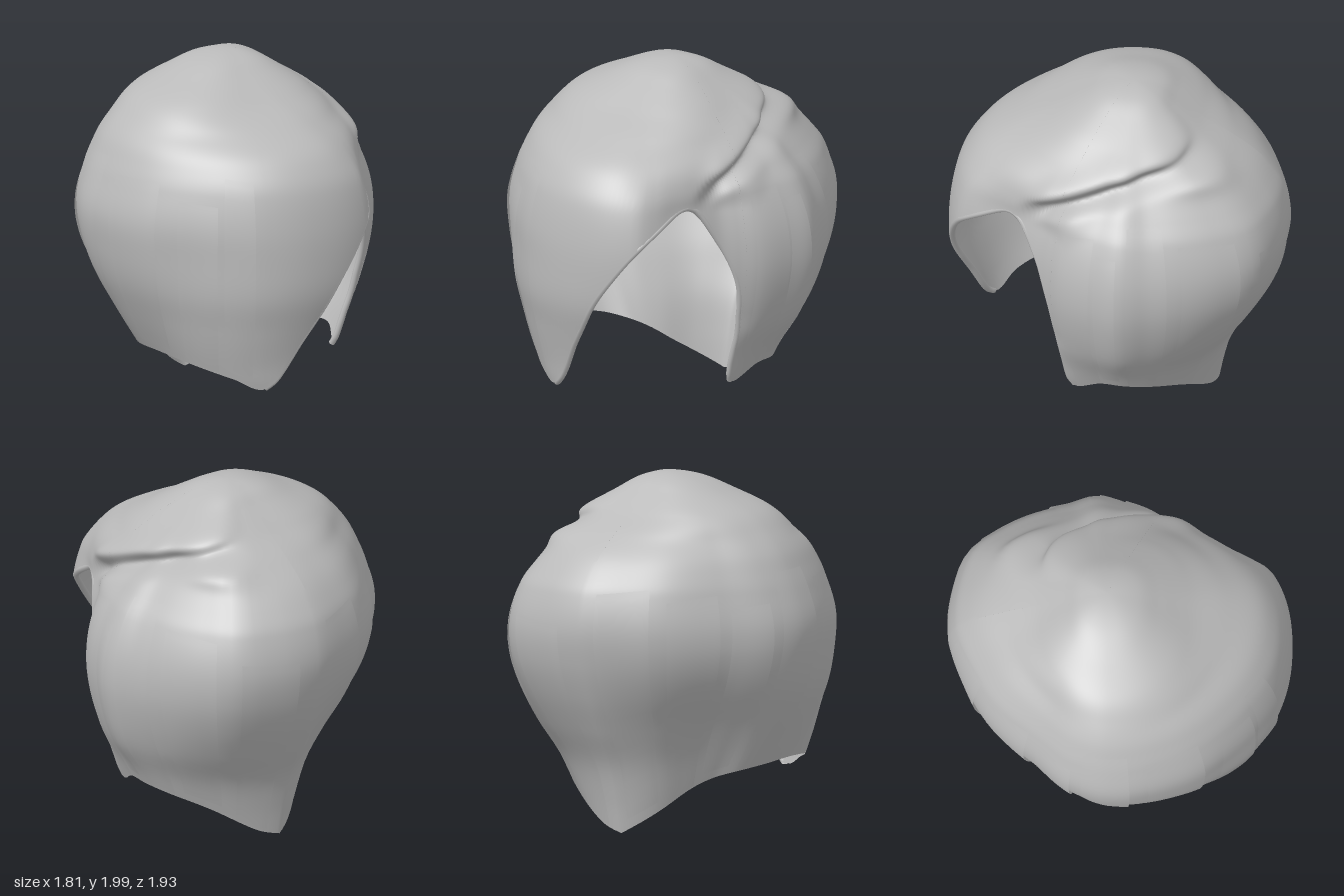
import * as THREE from 'three';
import { mergeVertices } from 'three/addons/utils/BufferGeometryUtils.js';

const AXIS_Z = -0.07; // the crown sits slightly behind the centre
const DEG = Math.PI / 180;
const smooth = THREE.MathUtils.smoothstep;
const bell = (x, width) => Math.exp(-Math.pow(x / width, 2));

// Ring reach at each height: right, left, back, front, keyed by sqrt(2 - y)
const RINGS = [
  [2, 0, 0, 0, 0], [1.97, 0.19, 0.15, 0.15, 0.17], [1.9, 0.36, 0.27, 0.25, 0.3],
  [1.8, 0.57, 0.41, 0.39, 0.47], [1.7, 0.68, 0.53, 0.56, 0.67], [1.6, 0.76, 0.62, 0.7, 0.84],
  [1.5, 0.81, 0.71, 0.79, 0.93], [1.4, 0.85, 0.79, 0.85, 0.98], [1.2, 0.9, 0.87, 0.89, 1.02],
  [1, 0.88, 0.89, 0.86, 1.03], [0.8, 0.83, 0.86, 0.79, 1.02], [0.6, 0.74, 0.79, 0.69, 0.97],
  [0.4, 0.63, 0.66, 0.58, 0.92], [0.2, 0.5, 0.55, 0.52, 0.89], [0, 0.36, 0.42, 0.48, 0.8],
].map(([y, ...r]) => [Math.sqrt(2 - y), ...r]);

// Plan outline factor by angle (0 = front, 90 = the model's left)
const PLAN = [
  [-180, 1], [-165, 0.94], [-151, 0.915], [-123, 0.885], [-104, 0.96], [-90, 1], [-62, 0.99],
  [-35, 0.97], [0, 1], [23, 1.02], [28, 0.98], [35, 0.91], [43, 0.87], [54, 0.83], [62, 0.86],
  [71, 0.92], [84, 0.96], [95, 1], [106, 0.97], [119, 0.99], [135, 1.03], [147, 1.07],
  [160, 1.04], [180, 1],
];

// Extra taper towards the hem by angle
const TAPER = [
  [-180, 1], [-160, 0.86], [-135, 0.71], [-110, 0.73], [-95, 0.88], [-82, 0.96], [-62, 1],
  [-35, 1.08], [0, 1], [90, 1], [125, 0.95], [150, 0.97], [180, 1],
];

// Height of the parting crease by angle
const PARTING = [[36, 1.36], [41, 1.39], [55, 1.49], [74, 1.59], [100, 1.68], [125, 1.74], [147, 1.78], [165, 1.78]];

// Hem by angle; the high stretch is the face opening
const HEM = new THREE.CatmullRomCurve3([
  [-180, 0.01], [-155, 0.13], [-128, 0.25], [-108, 0.32], [-90, 0.37], [-64, 0.39], [-41, 0.37],
  [-26, 0.32], [-15, 0.26], [0, 0.6], [11.5, 0.93], [27, 1.25], [40, 1.37], [54, 1.15],
  [62.5, 0.9], [65, 0.6], [67, 0.25], [83, 0.32], [93, 0.32], [110, 0.28], [133, 0.2],
  [165, 0.05], [180, 0.01],
].map(([a, y]) => new THREE.Vector3(a / 100, y, 0)));
const HEM_STEPS = 22;

// Smooth interpolation of one column of a table
function sample(table, x, col = 1) {
  const last = table.length - 1;
  let i = 0;
  while (i < last - 1 && x > table[i + 1][0]) i++;
  const slope = (k) => {
    const a = table[Math.max(k - 1, 0)], b = table[Math.min(k + 1, last)];
    return (b[col] - a[col]) / (b[0] - a[0]);
  };
  const p = table[i], q = table[i + 1], h = q[0] - p[0];
  const t = THREE.MathUtils.clamp((x - p[0]) / h, 0, 1), s = 1 - t;
  return s * s * (1 + 2 * t) * p[col] + t * t * (3 - 2 * t) * q[col]
    + h * t * s * (s * slope(i) - t * slope(i + 1));
}

// Point of the hair surface at an angle and height
function surface(angle, y, offset = 0) {
  const v = Math.sqrt(Math.max(0, 2 - y));
  const sx = Math.sin(angle * DEG), cz = Math.cos(angle * DEG);
  const a = sample(RINGS, v, sx < 0 ? 1 : 2), b = sample(RINGS, v, cz < 0 ? 3 : 4);
  let r = v < 1e-6 ? 0 : 1 / Math.hypot(sx / a, cz / b);
  // The outline fades out at the hem and crown, sooner above the fringe
  const plan = sample(PLAN, angle) - 1;
  const fringe = smooth(angle, 5, 30) * (1 - smooth(angle, 70, 100));
  const fadeIn = smooth(y, 0.2, plan > 0 ? 1.1 : 0.7);
  r *= 1 + plan * fadeIn * (1 - smooth(y, 1.6 - 0.28 * fringe, 1.95 - 0.33 * fringe));
  r *= 1 + (sample(TAPER, angle) - 1) * (1 - smooth(y, 0.2, 1.1));
  // Fuller diagonals on the crown
  r *= 1 + 0.1 * Math.pow(2 * sx * cz, 2) * smooth(y, 1.65, 1.85);
  // Rolled fringe above the parting, tucked crease below it
  const strength = smooth(angle, 42, 58) * (1 - smooth(angle, 135, 160));
  if (strength > 0) {
    const d = y - sample(PARTING, angle);
    r += strength * (0.04 * bell(d - 0.05, 0.09) - 0.085 * bell(d + 0.025, 0.05));
  }
  // Raised shoulder outside the end of the parting
  r += 0.07 * bell(angle - 138, 20) * bell(y - 1.69, 0.075);
  r += offset;
  return new THREE.Vector3(sx * r, y, AXIS_Z + cz * r);
}

// Sheet between two hem positions (t) and two depths (u: 0 crown, 1 hem)
function sheet({ t0 = 0, t1 = 1, u0 = 0, u1 = 1, cols, rows, offset = () => 0 }) {
  const pos = [], index = [];
  for (let i = 0; i <= cols; i++) {
    const hem = HEM.getPoint(t0 + (t1 - t0) * i / cols);
    const angle = THREE.MathUtils.clamp(hem.x * 100, -180, 180);
    for (let j = 0; j <= rows; j++) {
      const u = u0 + (u1 - u0) * j / rows;
      const y = 2 - (2 - hem.y) * u * u;
      pos.push(...surface(angle, y, offset(i / cols, j / rows)).toArray());
      if (i < cols && j < rows) {
        const k = i * (rows + 1) + j, n = k + rows + 1;
        index.push(k, k + 1, n, n, k + 1, n + 1);
      }
    }
  }
  const g = new THREE.BufferGeometry();
  g.setAttribute('position', new THREE.Float32BufferAttribute(pos, 3));
  g.setIndex(index);
  const welded = mergeVertices(g, 1e-4);
  welded.computeVertexNormals();
  return welded;
}

export function createModel() {
  const group = new THREE.Group();
  const hair = new THREE.MeshStandardMaterial({ color: 0xbababa, side: THREE.DoubleSide });
  hair.name = 'hair grey';
  const add = (name, geometry) => {
    const mesh = new THREE.Mesh(geometry, hair);
    mesh.name = name;
    group.add(mesh);
  };

  // Whole hair cap with parting and face opening
  add('hairCap', sheet({ cols: 176, rows: 120 }));

  // Lining behind the swept fringe
  add('fringeLining', sheet({
    t0: 5.8 / HEM_STEPS, t1: 11.8 / HEM_STEPS, u0: 0.66, u1: 1, cols: 40, rows: 16,
    offset: () => -0.03,
  }));

  // Rolled edges either side of the face opening
  const edge = (from, to) => {
    const pts = [];
    for (let i = 0; i <= 20; i++) {
      const hem = HEM.getPoint((from + (to - from) * i / 20) / HEM_STEPS);
      pts.push(surface(hem.x * 100, hem.y, -0.018));
    }
    return new THREE.TubeGeometry(new THREE.CatmullRomCurve3(pts), 48, 0.018, 8);
  };
  add('fringeEdge', edge(8.05, 12));
  add('sideEdge', edge(12, 15.95));

  // Thin overlapping locks around the back and sides
  const locks = [0.6, 1.7, 2.8, 3.9, 5, 6.2, 7.2, 16.6, 17.6, 18.7, 19.8, 20.9];
  locks.forEach((c, i) => add('lock', sheet({
    t0: (c - 0.42) / HEM_STEPS, t1: (c + 0.42) / HEM_STEPS,
    u0: 0.55 + 0.04 * (i % 3), u1: 0.985 + 0.012 * (i % 2), cols: 8, rows: 24,
    offset: (s, d) => 0.014 * Math.sin(Math.PI * d) * s + 0.001,
  })));
  return group;
}
